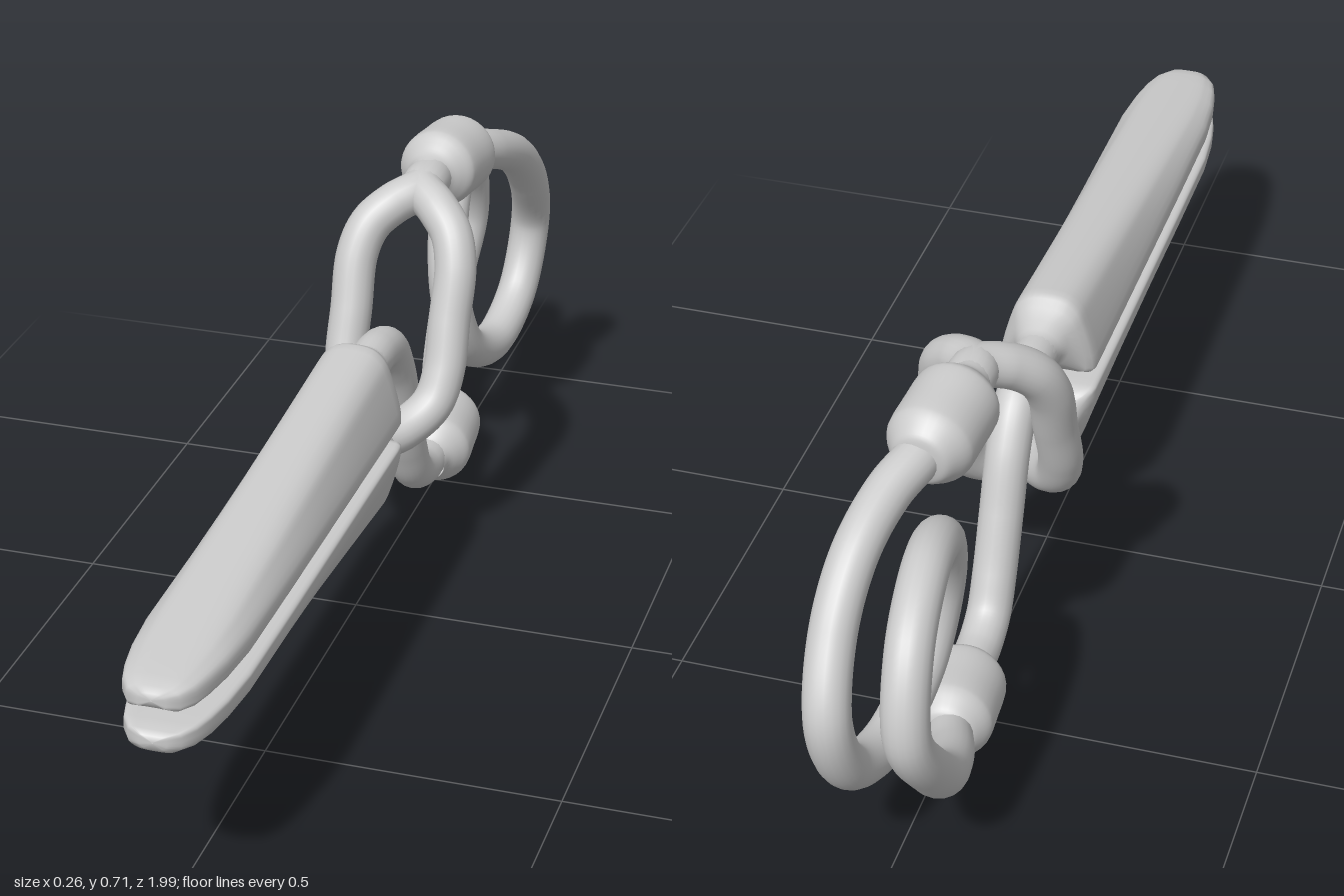
import * as THREE from 'three';

const MID = 0.354; // height of the axis the two halves share
const WIRE = 0.0375; // wire radius
const mat = new THREE.MeshStandardMaterial({ color: 0xcccccc, side: THREE.DoubleSide });

function mesh(name, geometry) {
  const m = new THREE.Mesh(geometry, mat);
  m.name = name;
  return m;
}

function wire(name, pts, segments) {
  const curve = new THREE.CatmullRomCurve3(pts.map(p => new THREE.Vector3(...p)));
  return mesh(name, new THREE.TubeGeometry(curve, segments, WIRE, 20));
}

// Flat-bottomed, dome-topped ring of points
function jawSection(w, bottom, top) {
  const h = top - bottom, lip = Math.min(0.032, h * 0.7);
  const r = Math.min(0.01, h * 0.25), dome = f => bottom + lip + (h - lip) * f;
  const half = [[0.5 * w, bottom], [0.9 * w, bottom], [0.985 * w, bottom + r * 0.4], [w, bottom + r],
    [0.97 * w, bottom + lip], [0.75 * w, dome(0.6)], [0.63 * w, dome(0.8)], [0.4 * w, dome(0.95)]];
  return closeRing(half, [0, bottom], [0, top]);
}

// Round ring with the same number of points
function roundSection(r, y) {
  const half = [];
  for (let i = 1; i <= 8; i++) {
    const a = -Math.PI / 2 + (i / 9) * Math.PI;
    half.push([r * Math.cos(a), y + r * Math.sin(a)]);
  }
  return closeRing(half, [0, y - r], [0, y + r]);
}

function closeRing(half, low, high) {
  const other = half.map(([x, y]) => [-x, y]).reverse();
  const pts = [low, ...half, high, ...other].map(([x, y]) => new THREE.Vector3(x, y, 0));
  return new THREE.CatmullRomCurve3(pts, true).getPoints(54).slice(0, 54);
}

// Skin over rings running from front to back
function loft(rows) {
  const pos = [], index = [], n = rows[0].ring.length;
  rows.forEach(({ z, ring }, i) => {
    ring.forEach((p, j) => {
      pos.push(p.x, p.y, z);
      if (i === rows.length - 1) return;
      const a = i * n + j, b = i * n + (j + 1) % n;
      index.push(a, a + n, b, b, a + n, b + n);
    });
  });
  const g = new THREE.BufferGeometry();
  g.setAttribute('position', new THREE.Float32BufferAttribute(pos, 3));
  g.setIndex(index);
  g.computeVertexNormals();
  return g;
}

// Jaw, tapering to a rounded tip and narrowing into the wire at the back
function jaw() {
  const rows = [];
  const add = (z, w, bottom, top) => rows.push({ z, ring: jawSection(w, bottom - MID, top - MID) });
  add(1.0, 0.001, 0.389, 0.391);
  add(0.999, 0.022, 0.379, 0.402);
  add(0.99, 0.042, 0.373, 0.41);
  for (const [z, w] of [[0.965, 0.058], [0.93, 0.068], [0.88, 0.077], [0.8, 0.084], [0.6, 0.085],
    [0.4, 0.085], [0.2, 0.085], [0.03, 0.085], [0.012, 0.0845]]) {
    add(z, w, 0.371, 0.411 + (1 - z) * 0.104);
  }
  add(0, 0.081, 0.373, 0.51);
  add(-0.012, 0.072, 0.38, 0.498);
  for (const [z, r] of [[-0.035, 0.049], [-0.05, 0.04], [-0.065, WIRE], [-0.1, WIRE]]) {
    rows.push({ z, ring: roundSection(r, 0.44 - MID) });
  }
  return mesh('jaw', loft(rows));
}

// Collar joining the clamp frame to the spring
function collar() {
  const profile = new THREE.SplineCurve([[0.034, -0.115], [0.04, -0.095], [0.055, -0.078], [0.068, -0.062],
    [0.072, -0.045], [0.072, 0], [0.072, 0.045], [0.069, 0.062], [0.058, 0.08], [0.045, 0.095], [0.03, 0.1]]
    .map(p => new THREE.Vector2(...p)));
  const m = mesh('collar', new THREE.LatheGeometry(profile.getPoints(40), 32));
  const dir = new THREE.Vector3(0.016, -0.015, -0.19).normalize();
  m.quaternion.setFromUnitVectors(new THREE.Vector3(0, 1, 0), dir);
  m.position.set(0.006, 0.634 - MID, -0.548);
  return m;
}

export function createModel() {
  const group = new THREE.Group();
  group.name = 'springClamp';

  // Two identical halves, the lower one turned half a turn about z
  ['upper', 'lower'].forEach((side, i) => {
    const half = new THREE.Group();
    half.name = side + 'Half';
    half.add(jaw(), collar());
    half.position.y = MID;
    half.rotation.z = i * Math.PI;
    group.add(half);
  });

  // Single rod from the upper jaw down to the lower collar
  group.add(wire('crossingRod', [[0, 0.44, -0.05], [0, 0.44, -0.12], [0, 0.422, -0.18], [0, 0.36, -0.23],
    [0, 0.26, -0.272], [0, 0.16, -0.315], [0, 0.1, -0.352], [0, 0.074, -0.405], [0, 0.07, -0.47]], 60));

  // Split loop from the lower jaw up to the upper collar, around the rod
  for (const s of [1, -1]) {
    group.add(wire(s > 0 ? 'leftLoopArm' : 'rightLoopArm', [[0, 0.268, -0.05], [0, 0.268, -0.11],
      [s * 0.04, 0.278, -0.16], [s * 0.078, 0.312, -0.203], [s * 0.091, 0.365, -0.232],
      [s * 0.091, 0.45, -0.265], [s * 0.091, 0.54, -0.3], [s * 0.075, 0.589, -0.327],
      [s * 0.04, 0.621, -0.358], [0, 0.638, -0.4], [0, 0.639, -0.48]], 70));
  }

  // Coil spring of one and a half turns, symmetric about the mid axis
  const coil = [[0.008, 0.28, -0.56], [0.02, 0.27, -0.63], [0.045, 0.25, -0.7], [0.066, 0.203, -0.8],
    [0.073, 0.116, -0.89], [0.062, 0, -0.957], [0.052, -0.127, -0.905], [0.037, -0.181, -0.775],
    [0.018, -0.13, -0.645]];
  const back = coil.map(([x, y, z]) => [-x, -y, z]).reverse();
  const spring = wire('coilSpring', [...coil, [0, 0, -0.592], ...back], 160);
  spring.position.y = MID;
  group.add(spring);

  return group;
}
